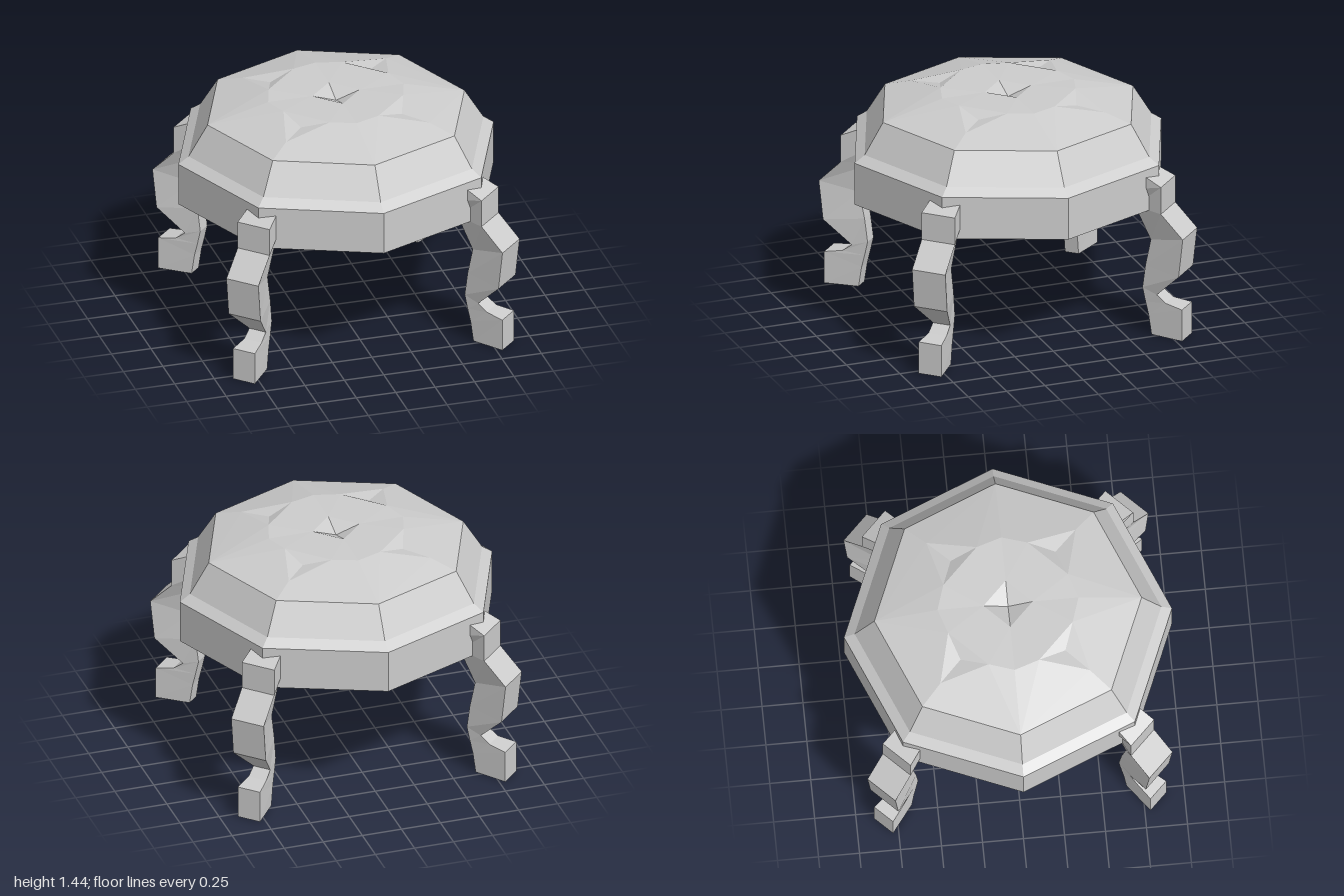
import * as THREE from 'three';

const material = new THREE.MeshStandardMaterial({ color: 0xcccccc, flatShading: true });

function meshFromTriangles(name, triangles) {
  const geometry = new THREE.BufferGeometry();
  geometry.setAttribute('position', new THREE.Float32BufferAttribute(triangles.flat(2), 3));
  geometry.computeVertexNormals();
  const mesh = new THREE.Mesh(geometry, material);
  mesh.name = name;
  return mesh;
}

// Eight-sided rim and underside
function createRim() {
  const profile = [[0, 0.825], [1, 0.825], [1, 1.095], [0.935, 1.14], [0.815, 1.335]];
  const geometry = new THREE.LatheGeometry(profile.map(([r, y]) => new THREE.Vector2(r, y)), 8);
  const mesh = new THREE.Mesh(geometry, material);
  mesh.name = 'shellRim';
  return mesh;
}

// One quarter of the shallow roof, with a three-cornered dent on its diagonal
// and a share of the pit in the middle
function createRoofQuarter() {
  const d = 0.815 * Math.SQRT1_2;
  const rimA = [0.815, 1.335, 0], rimD = [d, 1.335, d], rimB = [0, 1.335, 0.815];
  const ringA = [0.43, 1.435, 0], ringB = [0, 1.435, 0.43];
  const corner = [0.455, 1.385, 0.455], low = [0.32, 1.4, 0.32];
  const tipA = [0.38, 1.44, 0.155], tipB = [0.155, 1.44, 0.38];
  const pitA = [0.15, 1.435, 0], pitB = [0, 1.435, 0.15], pitLow = [0, 1.385, 0];
  const triangles = [
    [rimA, rimD, corner], [rimD, rimB, corner],
    [rimA, corner, tipA], [corner, rimB, tipB],
    [rimA, tipA, ringA], [rimB, ringB, tipB],
    [corner, tipA, low], [corner, low, tipB], [tipA, tipB, low],
    [ringA, tipA, pitA], [tipA, tipB, pitA], [tipB, pitB, pitA], [tipB, ringB, pitB],
    [pitA, pitB, pitLow],
  ].map(([a, b, c]) => {
    // Turn every face upwards
    const up = (b[2] - a[2]) * (c[0] - a[0]) - (b[0] - a[0]) * (c[2] - a[2]);
    return up > 0 ? [a, b, c] : [a, c, b];
  });
  return meshFromTriangles('roofQuarter', triangles);
}

// Crooked leg: wide outer edge, narrow inner edge, lofted from foot to shoulder
function createLeg() {
  // outer reach, outer y, outer half width, inner reach, inner y, inner half width
  const stations = [
    [1.185, 0, 0.075, 0.97, 0, 0.045],
    [1.185, 0.205, 0.075, 0.95, 0.13, 0.045],
    [1.07, 0.225, 0.06, 0.93, 0.21, 0.045],
    [1.01, 0.27, 0.057, 0.91, 0.3, 0.045],
    [1.177, 0.43, 0.11, 0.93, 0.45, 0.045],
    [1.205, 0.68, 0.11, 0.965, 0.62, 0.045],
    [1.06, 0.825, 0.11, 0.86, 0.825, 0.045],
    [1.06, 1.0, 0.11, 0.86, 0.95, 0.09],
    [0.96, 1.045, 0.1, 0.86, 1.05, 0.09],
  ];
  const rings = stations.map(([ro, yo, wo, ri, yi, wi]) =>
    [[-wo, yo, ro], [wo, yo, ro], [wi, yi, ri], [-wi, yi, ri]]);
  const triangles = [];
  const quad = (a, b, c, d) => triangles.push([a, b, c], [a, c, d]);
  for (let s = 0; s < rings.length - 1; s++) {
    for (let i = 0; i < 4; i++) {
      const j = (i + 1) % 4;
      quad(rings[s][i], rings[s][j], rings[s + 1][j], rings[s + 1][i]);
    }
  }
  const first = rings[0], last = rings[rings.length - 1];
  quad(first[3], first[2], first[1], first[0]);
  quad(...last);
  return meshFromTriangles('leg', triangles);
}

export function createModel() {
  const model = new THREE.Group();
  model.name = 'fourLeggedDome';
  model.add(createRim());

  const roof = new THREE.Group();
  roof.name = 'roof';
  const legs = new THREE.Group();
  legs.name = 'legs';
  for (let i = 0; i < 4; i++) {
    const quarter = createRoofQuarter();
    quarter.rotation.y = i * Math.PI / 2;
    roof.add(quarter);
    const leg = createLeg();
    leg.rotation.y = Math.PI / 4 + i * Math.PI / 2;
    legs.add(leg);
  }
  model.add(roof, legs);
  return model;
}
